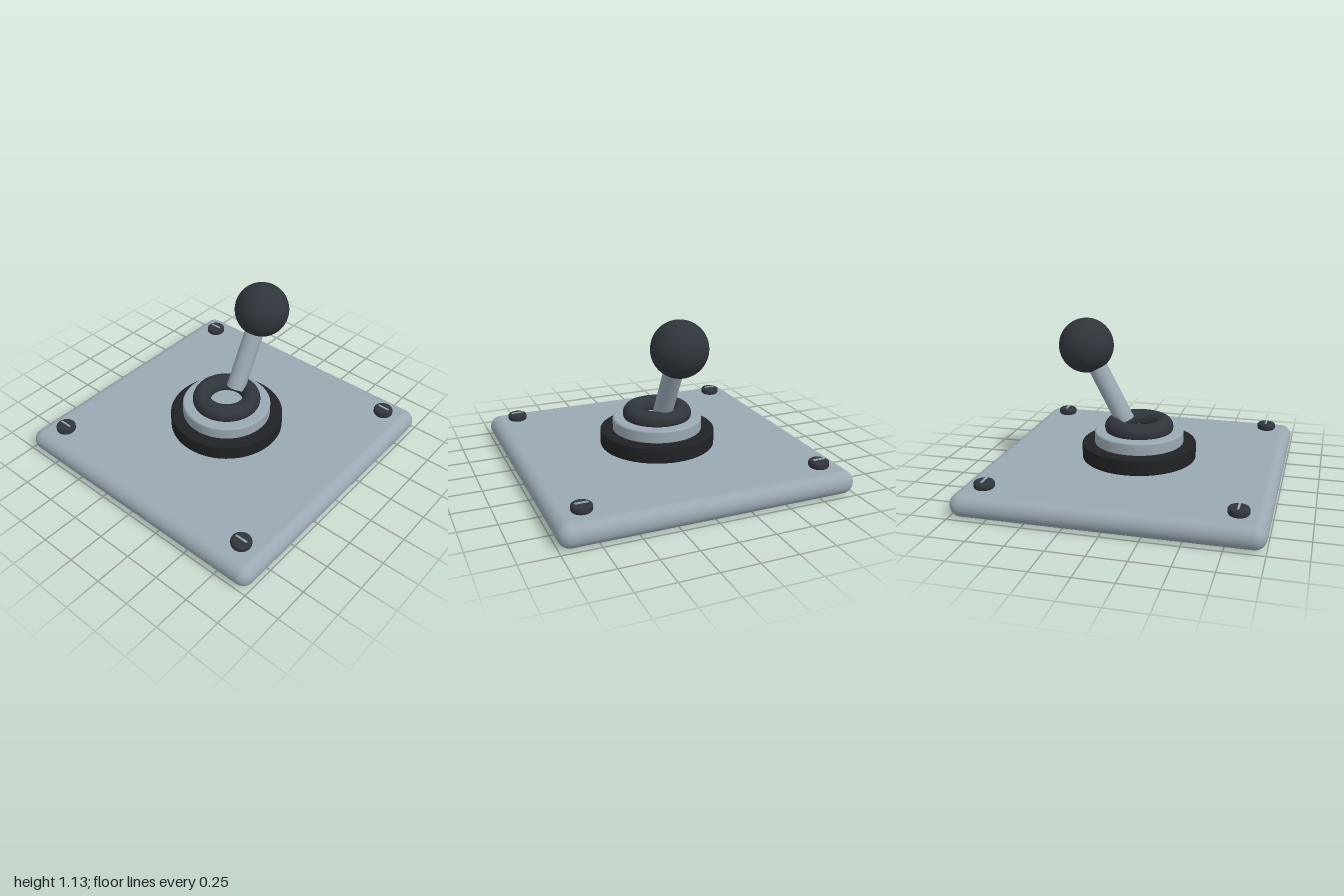
import * as THREE from 'three';
import { RoundedBoxGeometry } from 'three/addons/geometries/RoundedBoxGeometry.js';

const steel = new THREE.MeshStandardMaterial({ color: 0x9aa8b2 });
const dark = new THREE.MeshStandardMaterial({ color: 0x30353c });
const black = new THREE.MeshStandardMaterial({ color: 0x1f2225 });

function add(parent, name, geometry, material, x = 0, y = 0, z = 0) {
  const mesh = new THREE.Mesh(geometry, material);
  mesh.name = name;
  mesh.position.set(x, y, z);
  parent.add(mesh);
  return mesh;
}

// Solid disc from y0 to y1 with rounded rims of radius b
function roundedDisc(r, y0, y1, b, segments = 64) {
  const pts = [new THREE.Vector2(0, y0), new THREE.Vector2(r - b - 0.002, y0)];
  for (const [cy, start] of [[y0 + b, -Math.PI / 2], [y1 - b, 0]]) {
    for (let i = 0; i <= 5; i++) {
      const a = start + (i / 5) * Math.PI / 2;
      pts.push(new THREE.Vector2(r - b + b * Math.cos(a), cy + b * Math.sin(a)));
    }
  }
  pts.push(new THREE.Vector2(r - b - 0.002, y1), new THREE.Vector2(0, y1));
  return new THREE.LatheGeometry(pts, segments);
}

export function createModel() {
  const model = new THREE.Group();
  model.name = 'joystick';

  // Base plate with rounded edges
  add(model, 'basePlate', new RoundedBoxGeometry(2, 0.158, 2, 6, 0.078), steel, 0, 0.079, 0);

  // Stacked collars around the pivot
  add(model, 'lowerCollar', roundedDisc(0.4, 0.158, 0.27, 0.01), black);
  add(model, 'upperCollar', roundedDisc(0.312, 0.26, 0.355, 0.014), steel);
  const ring = new THREE.TorusGeometry(0.175, 0.065, 24, 64).rotateX(Math.PI / 2);
  add(model, 'pivotRing', ring, dark, 0, 0.38, 0);

  // Lever tilted to the back, with its ball knob
  const foot = new THREE.Vector3(0, 0.41, -0.1);
  const top = new THREE.Vector3(0, 0.937, -0.378);
  const axis = top.clone().sub(foot);
  const shaft = add(model, 'leverShaft', new THREE.CylinderGeometry(0.067, 0.067, axis.length(), 40), steel);
  shaft.position.copy(foot).lerp(top, 0.5);
  shaft.quaternion.setFromUnitVectors(new THREE.Vector3(0, 1, 0), axis.normalize());
  add(model, 'ballKnob', new THREE.SphereGeometry(0.19, 48, 32), dark, top.x, top.y, top.z);

  // Corner screws with a bright slot line
  for (const x of [-0.815, 0.815]) {
    for (const z of [-0.815, 0.815]) {
      const screw = new THREE.Group();
      screw.name = 'cornerScrew';
      screw.position.set(x, 0, z);
      add(screw, 'screwHead', roundedDisc(0.068, 0.157, 0.208, 0.018, 32), dark);
      add(screw, 'screwSlot', new THREE.BoxGeometry(0.085, 0.014, 0.012), steel, 0, 0.208, 0);
      model.add(screw);
    }
  }
  return model;
}
